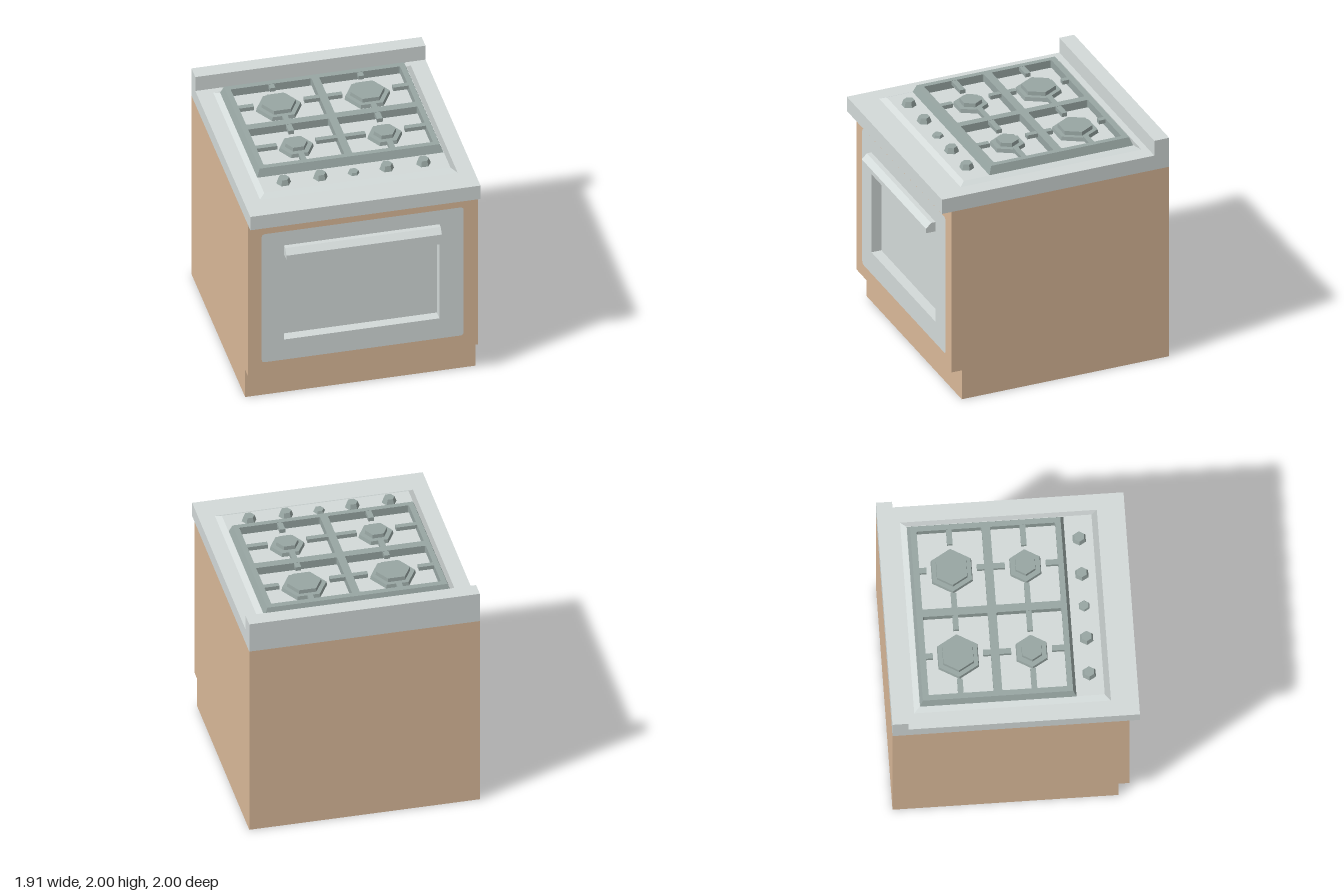
import * as THREE from 'three';

const material = (name, color) => {
  const m = new THREE.MeshStandardMaterial({ color });
  m.name = name;
  return m;
};

export function createModel() {
  const wood = material('warm cabinet', 0xdab999);
  const steel = material('light steel', 0xd3dad9);
  const iron = material('dark iron', 0x98a6a3);
  const root = new THREE.Group();
  root.name = 'stove';

  const add = (name, geometry, mat, parent = root) => {
    const mesh = new THREE.Mesh(geometry, mat);
    mesh.name = name;
    parent.add(mesh);
    return mesh;
  };

  // Box given by its limits; the top can be inset to form a bevel
  const block = (x0, x1, y0, y1, z0, z1, inset = 0) => {
    const g = new THREE.BoxGeometry(x1 - x0, y1 - y0, z1 - z0);
    const p = g.attributes.position;
    for (let i = 0; i < p.count; i++) {
      if (p.getY(i) > 0) {
        p.setX(i, p.getX(i) - Math.sign(p.getX(i)) * inset);
        p.setZ(i, p.getZ(i) - Math.sign(p.getZ(i)) * inset);
      }
    }
    g.computeVertexNormals();
    return g.translate((x0 + x1) / 2, (y0 + y1) / 2, (z0 + z1) / 2);
  };

  // Side profile of [z, y] points swept from x0 to x1
  const sweepX = (points, x0, x1) => {
    const shape = new THREE.Shape(points.map(([z, y]) => new THREE.Vector2(z, y)));
    return new THREE.ExtrudeGeometry(shape, { depth: x1 - x0, bevelEnabled: false })
      .rotateY(-Math.PI / 2).translate(x1, 0, 0);
  };

  // Rectangle outline with optional rounded corners
  const rect = (x0, x1, y0, y1, r = 0) => {
    const s = new THREE.Shape();
    if (!r) {
      s.moveTo(x0, y0).lineTo(x1, y0).lineTo(x1, y1).lineTo(x0, y1).closePath();
      return s;
    }
    s.moveTo(x0 + r, y0).lineTo(x1 - r, y0).quadraticCurveTo(x1, y0, x1, y0 + r);
    s.lineTo(x1, y1 - r).quadraticCurveTo(x1, y1, x1 - r, y1);
    s.lineTo(x0 + r, y1).quadraticCurveTo(x0, y1, x0, y1 - r);
    s.lineTo(x0, y0 + r).quadraticCurveTo(x0, y0, x0 + r, y0);
    return s;
  };

  const slab = (shape, holes, depth) => {
    shape.holes.push(...holes);
    return new THREE.ExtrudeGeometry(shape, { depth, bevelEnabled: false, curveSegments: 4 });
  };

  // Six-sided prism with corners pointing along x
  const hex = (rTop, rBottom, x, y0, y1, z) =>
    new THREE.CylinderGeometry(rTop, rBottom, y1 - y0, 6).toNonIndexed()
      .rotateY(Math.PI / 6).translate(x, (y0 + y1) / 2, z);
  const flat = (g) => { g.computeVertexNormals(); return g; };

  // Cabinet, front frame and oven door with a recessed window
  const zBack = 0.825, zFront = 0.915;
  const door = () => rect(-0.84, 0.835, 0.375, 1.62, 0.03);
  const pane = () => rect(-0.655, 0.635, 0.57, 1.29);
  add('cabinet', block(-0.955, 0.955, 0, 1.735, -1, zBack), wood);
  add('frontFrame', slab(rect(-0.955, 0.955, 0.265, 1.735), [door()], zFront - zBack)
    .translate(0, 0, zBack), wood);
  add('ovenDoor', slab(door(), [pane()], zFront - zBack).translate(0, 0, zBack), steel);
  add('ovenWindow', new THREE.ShapeGeometry(pane()).translate(0, 0, zBack + 0.003), steel);
  add('doorHandle', sweepX([[0.91, 1.4], [1, 1.4], [1, 1.44], [0.955, 1.485], [0.91, 1.485]],
    -0.655, 0.635), steel);

  // Worktop with upstand at the back, and raised hob plate
  add('worktop', sweepX([[-1, 1.735], [1, 1.735], [1, 1.865], [-0.87, 1.865], [-0.87, 2], [-1, 2]],
    -0.955, 0.955), steel);
  add('hobPlate', block(-0.82, 0.82, 1.865, 1.89, -0.815, 0.775, 0.047), steel);

  // Pan support: four-cell grate with sloping outer sides
  const y0 = 1.89, y1 = 1.958;
  const cellsX = [[-0.705, -0.035], [0.03, 0.7]];
  const cellsZ = [[-0.69, -0.165], [-0.095, 0.43]];
  const holes = cellsX.flatMap(([a, b]) => cellsZ.map(([c, d]) => rect(a, b, -d, -c, 0.012)));
  const grate = slab(rect(-0.775, 0.77, -0.5, 0.765), holes, y1 - y0)
    .rotateX(-Math.PI / 2).translate(0, y0, 0);
  const p = grate.attributes.position;
  for (let i = 0; i < p.count; i++) {
    if (p.getY(i) < y1 - 0.01) continue;
    const x = p.getX(i), z = p.getZ(i);
    if (Math.abs(x) > 0.74) p.setX(i, x - Math.sign(x) * 0.025);
    if (z > 0.46 || z < -0.73) p.setZ(i, z - Math.sign(z) * 0.025);
  }
  add('panSupport', flat(grate), iron);

  // Burners and the four fingers reaching towards each
  const rows = [
    { z: -0.43, r: 0.19, cap: 0.14, gapX: 0.21, gapZ: 0.203 },
    { z: 0.165, r: 0.145, cap: 0.09, gapX: 0.163, gapZ: 0.165 },
  ];
  cellsX.forEach(([xa, xb], i) => rows.forEach((row, j) => {
    const [za, zb] = cellsZ[j];
    const x = i ? 0.365 : -0.37, { z, r, cap, gapX, gapZ } = row;
    const burner = new THREE.Group();
    burner.name = 'burner';
    root.add(burner);
    add('burnerBase', flat(hex(r - 0.007, r, x, y0, 1.922, z)), iron, burner);
    add('burnerCap', flat(hex(cap, cap + 0.003, x, 1.922, 1.955, z)), iron, burner);
    const w = 0.023, top = y1 - 0.002, low = 1.922;
    add('gratefinger', block(xa - 0.01, x - gapX, low, top, z - w, z + w), iron, burner);
    add('gratefinger', block(x + gapX, xb + 0.01, low, top, z - w, z + w), iron, burner);
    add('gratefinger', block(x - w, x + w, low, top, za - 0.01, z - gapZ), iron, burner);
    add('gratefinger', block(x - w, x + w, low, top, z + gapZ, zb + 0.01), iron, burner);
  }));

  // Row of control knobs, the middle one smaller
  [-0.585, -0.28, -0.005, 0.27, 0.575].forEach((x, i) => {
    const small = i === 2;
    add('knob', flat(hex(small ? 0.04 : 0.045, small ? 0.049 : 0.061, x, y0,
      small ? 1.912 : 1.937, 0.615)), iron);
  });

  return root;
}
